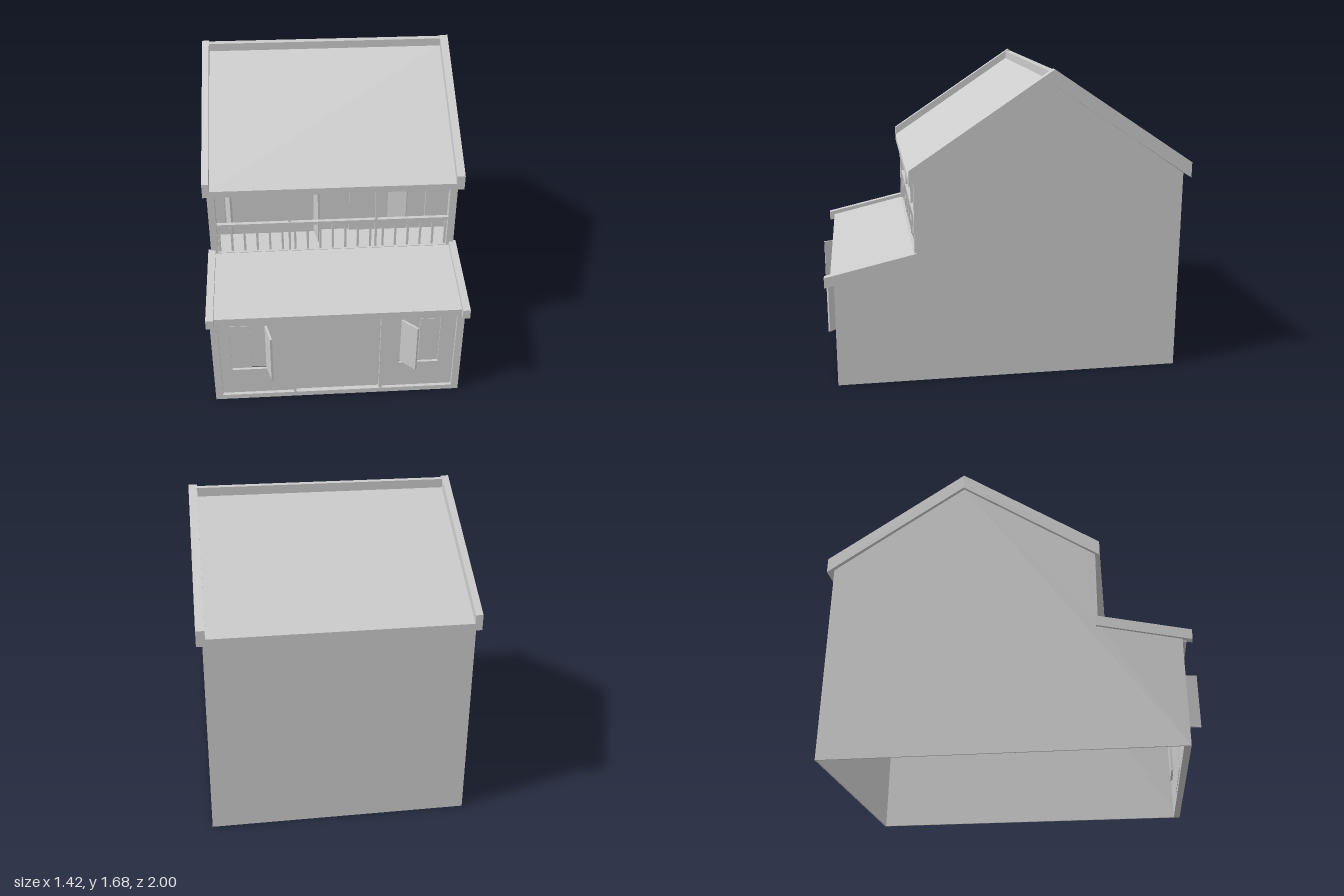
import * as THREE from 'three';

const mat = new THREE.MeshStandardMaterial({ color: 0xcccccc, flatShading: true, side: THREE.DoubleSide });

function add(parent, name, geo) {
  const mesh = new THREE.Mesh(geo, mat);
  mesh.name = name;
  parent.add(mesh);
  return mesh;
}

// Box given by its two corners
function box(parent, name, x0, x1, y0, y1, z0, z1) {
  const m = add(parent, name, new THREE.BoxGeometry(x1 - x0, y1 - y0, z1 - z0));
  m.position.set((x0 + x1) / 2, (y0 + y1) / 2, (z0 + z1) / 2);
  return m;
}

// Side profile of [z, y] points, extruded between x0 and x1
function profile(parent, name, pts, x0, x1) {
  const shape = new THREE.Shape(pts.map(p => new THREE.Vector2(...p)));
  const geo = new THREE.ExtrudeGeometry(shape, { depth: x1 - x0, bevelEnabled: false });
  geo.rotateY(-Math.PI / 2).translate(x1, 0, 0);
  return add(parent, name, geo);
}

// Upright panel facing front, with rectangular holes [x0, x1, y0, y1]
function panel(parent, name, x0, x1, y0, y1, z, depth, holes) {
  const rect = (T, a, b, c, d) => new T([[a, c], [b, c], [b, d], [a, d]].map(p => new THREE.Vector2(...p)));
  const shape = rect(THREE.Shape, x0, x1, y0, y1);
  for (const h of holes) shape.holes.push(rect(THREE.Path, ...h));
  const geo = new THREE.ExtrudeGeometry(shape, { depth, bevelEnabled: false });
  return add(parent, name, geo.translate(0, 0, z - depth));
}

// Open leaf standing between two plan points
function leaf(parent, name, x0, z0, x1, z1, y0, y1) {
  const m = add(parent, name, new THREE.BoxGeometry(Math.hypot(x1 - x0, z1 - z0), y1 - y0, 0.012));
  m.position.set((x0 + x1) / 2, (y0 + y1) / 2, (z0 + z1) / 2);
  m.rotation.y = -Math.atan2(z1 - z0, x1 - x0);
  return m;
}

export function createModel() {
  const model = new THREE.Group();
  model.name = 'house';
  const body = new THREE.Group();
  body.name = 'houseBody';
  body.position.x = -0.005;
  model.add(body);

  // Hollow shell, open underneath
  const side = [[0.915, 0], [0.915, 0.575], [0.49, 0.69], [0.49, 1.11], [-0.24, 1.6], [-0.965, 1.11], [-0.965, 0]];
  profile(body, 'rightWall', side, -0.685, -0.677);
  profile(body, 'leftWall', side, 0.677, 0.685);
  box(body, 'backWall', -0.685, 0.685, 0, 1.11, -0.965, -0.957);

  // Ground floor front: outer frame, recessed wall and door
  panel(body, 'frontFrame', -0.685, 0.685, 0, 0.575, 0.915, 0.035, [[-0.645, 0.645, 0.03, 0.56]]);
  const lowWindows = [[-0.585, -0.365, 0.2, 0.515], [0.34, 0.56, 0.2, 0.515]];
  panel(body, 'frontWall', -0.645, 0.645, 0.03, 0.56, 0.897, 0.017, [...lowWindows, [-0.232, 0.232, 0.03, 0.535]]);
  box(body, 'door', -0.232, 0.232, 0.03, 0.535, 0.878, 0.89);
  for (const s of [-1, 1]) {
    box(body, 'doorPost', s * 0.24 - 0.0075, s * 0.24 + 0.0075, 0.03, 0.545, 0.88, 0.912);
  }
  box(body, 'doorHead', -0.2475, 0.2475, 0.535, 0.547, 0.88, 0.912);
  for (const [x0, x1, y0, y1] of lowWindows) {
    box(body, 'windowPane', x0, x1, y0, y1, 0.868, 0.876);
    const m = (x0 + x1) / 2;
    if (m < 0) box(body, 'closedShutter', x0, m, y0 + 0.005, y1 - 0.01, 0.876, 0.888);
    else box(body, 'closedShutter', m, x1, y0 + 0.005, y1 - 0.01, 0.876, 0.888);
  }
  leaf(body, 'openShutter', -0.39, 0.885, -0.362, 0.998, 0.207, 0.5);
  leaf(body, 'openShutter', 0.35, 0.885, 0.427, 0.96, 0.207, 0.5);

  // Recessed balcony
  box(body, 'balconyFloor', -0.677, 0.677, 0.69, 0.705, 0.3, 0.49);
  const highWindows = [[-0.605, -0.365, 0.77, 1.08], [0.325, 0.545, 0.77, 1.08], [-0.1, 0.105, 0.705, 1.08]];
  panel(body, 'balconyWall', -0.677, 0.677, 0.705, 1.22, 0.31, 0.015, highWindows);
  for (const [x0, x1, y0, y1] of highWindows) box(body, 'upperPane', x0, x1, y0, y1, 0.285, 0.295);
  leaf(body, 'upperShutter', -0.595, 0.3, -0.562, 0.41, 0.78, 1.075);
  leaf(body, 'upperShutter', 0.33, 0.3, 0.43, 0.345, 0.78, 1.075);
  leaf(body, 'balconyDoor', -0.095, 0.3, -0.075, 0.42, 0.708, 1.075);
  for (const s of [-1, 1]) {
    box(body, 'balconyJamb', s * 0.665 - 0.02, s * 0.665 + 0.02, 0.69, 1.11, 0.45, 0.49);
    box(body, 'balconyPost', s * 0.242 - 0.006, s * 0.242 + 0.006, 0.7, 1.11, 0.46, 0.48);
  }
  box(body, 'balconyLintel', -0.677, 0.677, 1.085, 1.125, 0.45, 0.49);

  // Railing
  box(body, 'handrail', -0.645, 0.645, 0.87, 0.888, 0.46, 0.482);
  for (let i = 0; i <= 18; i++) {
    const x = -0.635 + i * 1.27 / 18;
    box(body, 'baluster', x - 0.006, x + 0.006, 0.7, 0.872, 0.465, 0.477);
  }

  // Porch roof with raised edges
  profile(body, 'porchRoof', [[0.935, 0.56], [0.935, 0.598], [0.48, 0.705], [0.48, 0.67]], -0.67, 0.67);
  const porchEdge = [[0.965, 0.56], [0.965, 0.615], [0.48, 0.726], [0.48, 0.67]];
  profile(body, 'porchRoofEdge', porchEdge, -0.7, -0.66);
  profile(body, 'porchRoofEdge', porchEdge, 0.66, 0.7);

  // Main gable roof, raised edges and ridge cap
  const gable = (top, bottom) => [[0.515, 1.09], [0.515, 1.09 + top], [-0.24, 1.595 + top], [-1, 1.09 + top],
    [-1, 1.09], [-0.24, 1.09 + bottom]];
  profile(model, 'mainRoof', gable(0.037, 0.505), -0.68, 0.68);
  profile(model, 'roofEdge', gable(0.083, 0.505), -0.71, -0.672);
  profile(model, 'roofEdge', gable(0.083, 0.505), 0.665, 0.71);
  box(model, 'ridgeCap', -0.675, 0.67, 1.6, 1.664, -0.262, -0.222);

  return model;
}
